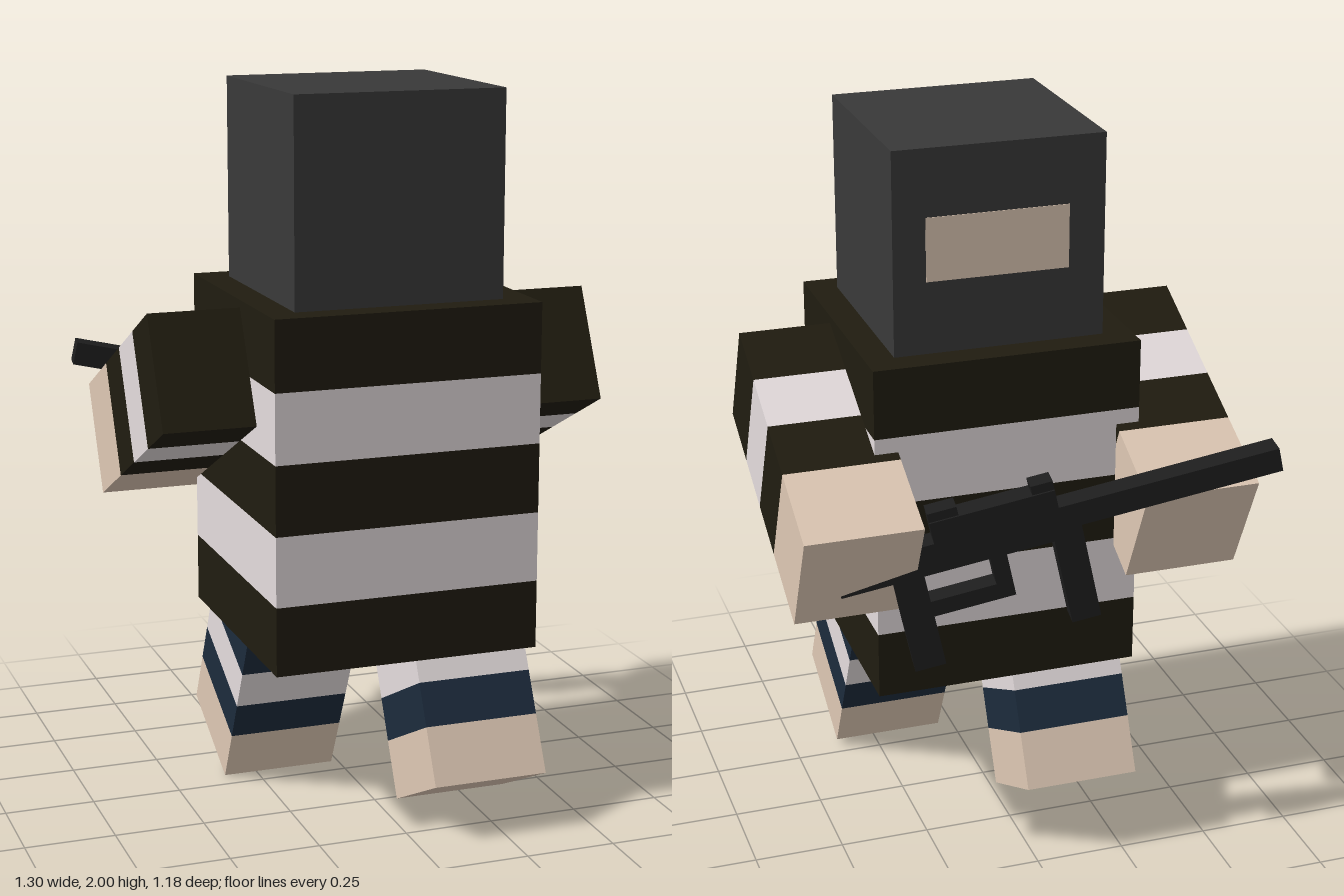
import * as THREE from 'three';

const mat = (color) => new THREE.MeshStandardMaterial({ color, flatShading: true });
const M = {
  dark: mat(0x201c10), white: mat(0xe4dcdd), skin: mat(0xdec8b4),
  navy: mat(0x1c2b3c), hood: mat(0x393939), gun: mat(0x1d1d1d),
};

// Box given by its min and max corners
function box(parent, name, material, [x0, y0, z0], [x1, y1, z1]) {
  const mesh = new THREE.Mesh(new THREE.BoxGeometry(x1 - x0, y1 - y0, z1 - z0), material);
  mesh.position.set((x0 + x1) / 2, (y0 + y1) / 2, (z0 + z1) / 2);
  mesh.name = name;
  parent.add(mesh);
}

// Striped limb stacked upward from its tip, then leaned about x
function limb(parent, name, pos, width, lean, bands) {
  const group = new THREE.Group();
  group.name = name;
  let y = 0;
  for (const [part, material, h] of bands) {
    box(group, part, material, [-width / 2, y, -0.163], [width / 2, y + h, 0.163]);
    y += h;
  }
  group.position.set(...pos);
  group.rotation.x = lean;
  parent.add(group);
}

export function createModel() {
  const model = new THREE.Group();
  model.name = 'figure';

  // Striped torso
  const levels = [0.48, 0.67, 0.863, 1.055, 1.247, 1.44];
  for (let i = 0; i < 5; i++) {
    box(model, 'torsoStripe', i % 2 ? M.white : M.dark,
      [-0.355, levels[i], -0.28], [0.39, levels[i + 1], 0.463]);
  }

  // Hooded head with eye slit on the back-facing side
  box(model, 'hood', M.hood, [-0.275, 1.44, -0.2], [0.31, 2, 0.386]);
  box(model, 'eyeSlit', M.skin, [-0.175, 1.64, -0.202], [0.22, 1.815, -0.19]);

  // Arms reaching towards -z
  const sleeve = [['hand', M.skin, 0.242], ['cuff', M.dark, 0.17],
    ['sleeveStripe', M.white, 0.171], ['shoulder', M.dark, 0.177]];
  limb(model, 'leftArm', [0.485, 0.941, -0.45], 0.32, 1.12, sleeve);
  limb(model, 'rightArm', [-0.45, 0.941, -0.45], 0.32, 1.12, sleeve);

  // Striding legs
  const trouser = [['foot', M.skin, 0.163], ['trouserStripe', M.navy, 0.121],
    ['trouserStripe', M.white, 0.125], ['thigh', M.navy, 0.32]];
  limb(model, 'leftLeg', [0.21, 0.09, 0.444], 0.322, -0.46, trouser);
  limb(model, 'rightLeg', [-0.182, 0.075, -0.212], 0.325, 0.46, trouser);

  // Rifle: each part is [name, x0, x1, y0, y1, half depth], muzzle at -x
  const rifle = new THREE.Group();
  rifle.name = 'rifle';
  const parts = [
    ['barrel', -0.665, -0.06, -0.033, 0.033, 0.036],
    ['receiver', -0.06, 0.28, -0.06, 0.085, 0.036],
    ['frontSight', -0.06, 0.0, 0.085, 0.11, 0.03],
    ['rearSight', 0.2, 0.28, 0.085, 0.11, 0.03],
    ['stock', 0.28, 0.55, -0.06, 0.025, 0.036],
    ['grip', 0.325, 0.41, -0.33, -0.06, 0.036],
    ['magazine', -0.11, -0.03, -0.31, -0.033, 0.036],
    ['triggerGuardBottom', 0.1, 0.325, -0.185, -0.14, 0.032],
    ['triggerGuardFront', 0.1, 0.145, -0.14, -0.06, 0.032],
  ];
  for (const [name, x0, x1, y0, y1, d] of parts) box(rifle, name, M.gun, [x0, y0, -d], [x1, y1, d]);
  rifle.position.set(0, 1.043, -0.46);
  rifle.rotation.set(0, -0.146, -0.21, 'YXZ');
  model.add(rifle);

  return model;
}
